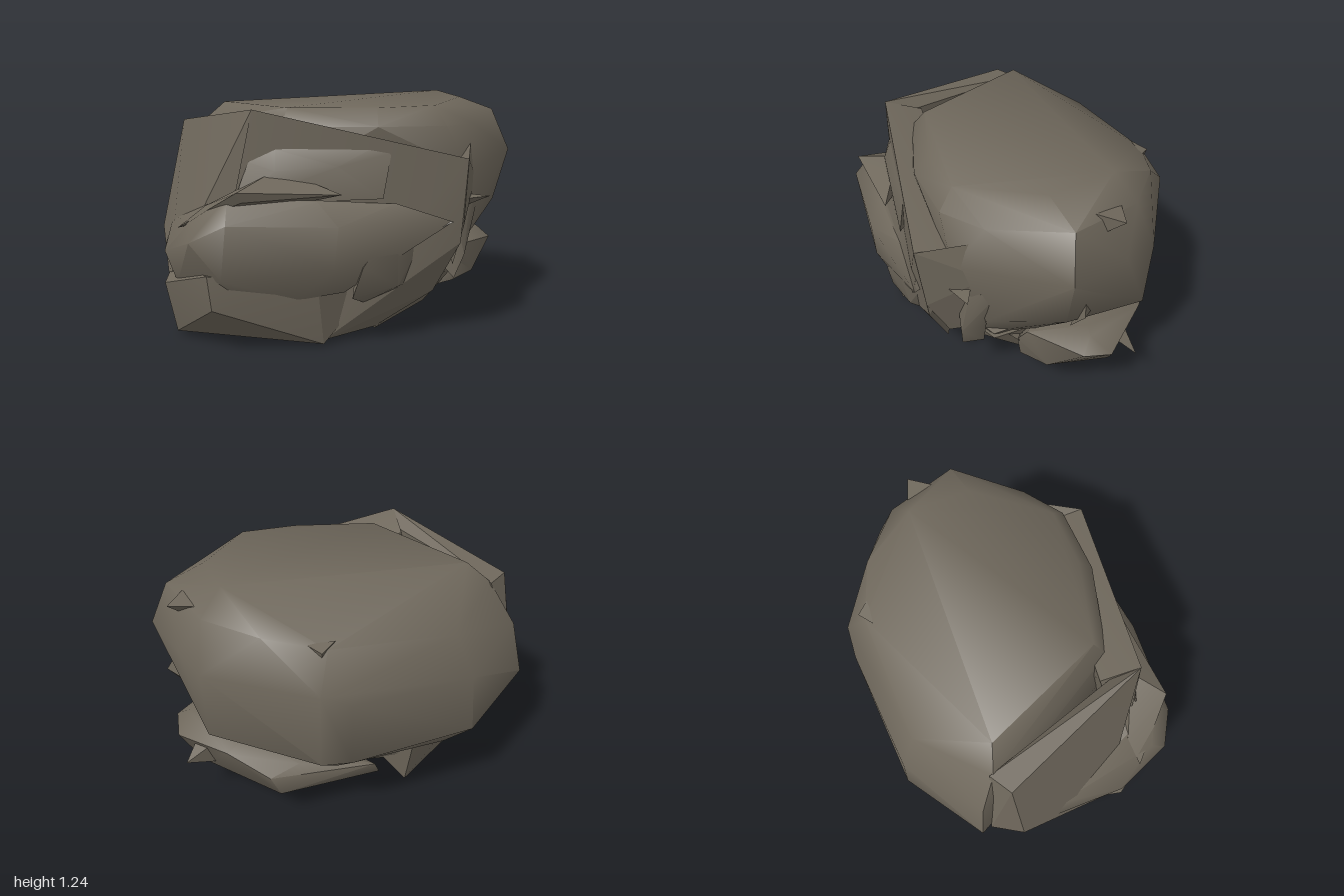
import * as THREE from 'three';
import { ConvexGeometry } from 'three/addons/geometries/ConvexGeometry.js';
import { mergeVertices, toCreasedNormals } from 'three/addons/utils/BufferGeometryUtils.js';

export function createModel() {
  const group = new THREE.Group();
  const stone = new THREE.MeshStandardMaterial({ color: 0x6e675b });
  stone.name = 'grey brown stone';

  // Convex chunk of rock from its corner points; edges sharper than the crease stay hard
  function rock(name, corners, crease = 0.75) {
    const hull = new ConvexGeometry(corners.map((c) => new THREE.Vector3(...c)));
    hull.deleteAttribute('normal');
    const mesh = new THREE.Mesh(toCreasedNormals(mergeVertices(hull, 1e-4), crease), stone);
    mesh.name = name;
    group.add(mesh);
  }

  // Main boulder: flat crown, long slope to the back, tapering underside
  rock('mainBoulder', [
    // crown
    [-0.64, 1.18, -0.18], [0.62, 1.24, -0.38], [0.7, 1.21, -0.05],
    [0.5, 1.18, 0.36], [0.2, 1.17, 0.43], [-0.25, 1.17, 0.4],
    // shoulder
    [-0.77, 1.07, -0.2], [-0.5, 0.99, -0.56], [0.15, 1.05, -0.7], [0.45, 1.1, -0.64],
    [0.72, 1.12, -0.47], [0.9, 1.14, -0.12], [0.72, 1.08, 0.25], [0.55, 1.08, 0.43],
    [0.2, 1.08, 0.51], [-0.28, 1.08, 0.47],
    // waist
    [-0.9, 0.85, -0.28], [-0.58, 0.78, -0.64], [0.05, 0.8, -0.81], [0.2, 0.87, -0.82],
    [0.75, 0.87, -0.57], [0.85, 0.9, -0.4], [1, 0.91, -0.1], [0.84, 0.88, 0.15],
    [0.68, 0.85, 0.4], [-0.3, 0.8, 0.5],
    // lower waist
    [-0.97, 0.55, -0.3], [-0.6, 0.47, -0.66], [0.05, 0.46, -0.82], [0.2, 0.46, -0.82],
    [0.74, 0.5, -0.56], [0.92, 0.62, -0.1], [0.72, 0.5, 0.25],
    // underside
    [-0.85, 0.36, -0.2], [-0.5, 0.28, -0.52], [0.1, 0.34, -0.7], [0.55, 0.28, -0.4],
    [0.7, 0.38, 0], [0.5, 0.2, 0.25], [-0.4, 0.25, 0.4],
  ], 0.85);

  // Split angular slab wrapping the front and left
  rock('leftSlab', [
    [-0.87, 1.08, -0.13], [-0.77, 1.07, -0.22], [-0.41, 1.17, 0.6], [-0.42, 1.1, 0.45],
    [-1, 0.47, -0.08], [-0.94, 0.5, -0.25], [-0.83, 0.02, 0], [-0.84, 0.02, 0.35],
    [-0.87, 0.3, 0.42], [-0.4, 0.25, 0.6],
  ], 0.25);
  rock('frontSlab', [
    [-0.41, 1.17, 0.6], [-0.42, 1.1, 0.4], [0.64, 0.93, 0.57], [0.62, 0.9, 0.35],
    [0.62, 0.5, 0.52], [0.5, 0.22, 0.42], [0.2, 0.02, 0.4], [-0.07, 0.02, 0.6],
    [-0.6, 0.3, 0.6], [-0.5, 0.7, 0.6],
  ], 0.25);

  // Raised core of the foot, with wedges reaching the ground around a hollow
  rock('footCore', [
    [-0.84, 0.16, -0.02], [-0.85, 0.16, 0.33], [0.2, 0.14, 0.4], [0.5, 0.14, -0.05],
    [0.3, 0.14, -0.45], [-0.32, 0.16, -0.48], [-0.92, 0.4, -0.1], [-0.86, 0.4, 0.4],
    [0.3, 0.4, 0.48], [0.66, 0.34, 0.2], [0.6, 0.4, -0.3], [0.2, 0.4, -0.6], [-0.45, 0.4, -0.52],
  ], 0.25);
  rock('leftFoot', [
    [-0.83, 0.02, 0], [-0.3, 0.01, -0.5], [-0.61, 0.02, -0.03], [-0.8, 0.02, 0.3],
    [-0.92, 0.42, -0.1], [-0.35, 0.4, -0.52], [-0.6, 0.35, 0], [-0.15, 0.2, -0.48],
  ], 0.25);
  rock('rightFoot', [
    [0.52, 0.01, -0.07], [0.2, 0.01, 0.4], [0.12, 0.02, 0.3], [0.3, 0.02, -0.1],
    [0.35, 0.02, -0.35], [0.67, 0.32, 0.2], [0.55, 0.3, -0.3], [0.3, 0.35, 0.48], [0.1, 0.3, 0.1],
  ], 0.25);
  rock('frontFoot', [
    [-0.83, 0.02, 0.45], [-0.6, 0.23, 0.77], [-0.07, 0.01, 0.63], [-0.83, 0.05, 0.3],
    [-0.87, 0.3, 0.52], [-0.87, 0.35, 0.28], [-0.62, 0.4, 0.77], [-0.1, 0.35, 0.7],
    [-0.1, 0.05, 0.5], [0.2, 0.3, 0.5],
  ], 0.25);

  // Two rounded stones lying in the hollow underneath
  function pebble(name, x, z, length, width) {
    const mesh = new THREE.Mesh(new THREE.SphereGeometry(1, 10, 7), stone);
    mesh.name = name;
    mesh.scale.set(length, 0.12, width);
    mesh.rotation.y = -Math.PI / 4;
    mesh.position.set(x, 0.12, z);
    group.add(mesh);
  }
  pebble('innerPebble', -0.22, -0.03, 0.31, 0.22);
  pebble('frontPebble', -0.42, 0.35, 0.24, 0.2);

  // Rounded boulder bulging from the front
  rock('frontBoulder', [
    [-0.94, 0.45, 0.1], [-0.9, 0.56, 0.12], [-0.87, 0.46, 0.5], [-0.7, 0.65, 0.68],
    [-0.52, 0.77, 0.72], [-0.1, 0.74, 0.69], [0.28, 0.72, 0.62], [0.57, 0.62, 0.58],
    [0.4, 0.57, 0.6], [-0.7, 0.56, 0.77], [-0.52, 0.65, 0.82], [0, 0.63, 0.76],
    [-0.55, 0.38, 0.79], [-0.02, 0.42, 0.75], [-0.8, 0.31, 0.55], [-0.5, 0.29, 0.73],
    [-0.2, 0.26, 0.7], [0.03, 0.29, 0.67], [0.28, 0.45, 0.62], [-0.2, 0.3, 0.4], [0.4, 0.55, 0.45],
  ], 0.9);
  // Knuckle at the lower right of the front
  rock('frontKnuckle', [
    [0.2, 0.53, 0.68], [0.29, 0.54, 0.65], [0.12, 0.42, 0.7], [0.07, 0.26, 0.68],
    [0.13, 0.21, 0.58], [0.27, 0.2, 0.43], [0.42, 0.28, 0.41], [0.45, 0.56, 0.52],
    [0.3, 0.3, 0.6], [0.1, 0.4, 0.45],
  ], 0.7);
  // Shallow swelling and thin flake above the front boulder
  rock('upperSwelling', [
    [-0.47, 0.82, 0.61], [-0.43, 0.92, 0.6], [-0.3, 0.98, 0.6], [0.2, 1, 0.57], [0.26, 0.96, 0.58],
    [0, 0.9, 0.63], [-0.3, 0.88, 0.64], [0.22, 0.74, 0.61], [-0.5, 0.72, 0.64], [0, 0.8, 0.4],
  ], 0.9);
  rock('flake', [
    [-0.78, 0.6, 0.6], [-0.47, 0.8, 0.79], [-0.34, 0.86, 0.62], [-0.2, 0.85, 0.6],
    [0.02, 0.77, 0.67], [-0.45, 0.75, 0.77], [-0.65, 0.7, 0.55], [-0.3, 0.7, 0.55],
  ], 0.3);

  // Long low boulder running from the right side to the back
  rock('rightBoulder', [
    [0.93, 0.37, -0.2], [0.92, 0.34, -0.35], [0.86, 0.43, -0.25], [0.8, 0.45, -0.25],
    [0.8, 0.2, -0.05], [0.8, 0.18, -0.38], [0.72, 0.38, 0.04], [0.68, 0.3, 0.08],
    [0.66, 0.17, 0.06], [0.62, 0.12, -0.1], [0.6, 0.1, -0.45], [0.55, 0.42, -0.5],
    [0.66, 0.38, -0.58], [0.45, 0.3, -0.71], [0.4, 0.18, -0.7], [0.25, 0.08, -0.55],
    [-0.1, 0.27, -0.64], [-0.13, 0.18, -0.6], [0.02, 0.06, -0.46], [0.3, 0.33, -0.65],
    [0.4, 0.08, 0], [0.3, 0.03, -0.28],
  ], 0.9);

  // Slim ridge and fin at the front right
  rock('rightRidge', [
    [0.7, 0.7, 0.32], [0.74, 0.7, 0.27], [0.75, 0.64, 0.24], [0.7, 0.45, 0.26], [0.64, 0.29, 0.25],
    [0.62, 0.27, 0.36], [0.67, 0.4, 0.37], [0.6, 0.68, 0.38], [0.5, 0.4, 0.28],
  ], 0.8);
  rock('rightFin', [
    [0.7, 0.99, 0.3], [0.64, 0.93, 0.57], [0.74, 0.8, 0.25], [0.63, 0.58, 0.53],
    [0.6, 0.36, 0.42], [0.66, 0.42, 0.2], [0.5, 0.8, 0.3],
  ], 0.2);

  // Small sharp chips: tip first, then the three embedded corners
  [
    [[0.8, 0.71, 0.35], [0.66, 0.71, 0.43], [0.66, 0.65, 0.33], [0.64, 0.72, 0.3]],
    [[0.95, 0.66, -0.18], [0.86, 0.81, -0.21], [0.86, 0.53, -0.14], [0.84, 0.62, -0.26]],
    [[0.88, 1.14, -0.36], [0.8, 1.16, -0.22], [0.83, 1.06, -0.28], [0.75, 1.14, -0.38]],
    [[0.18, 1.05, -0.73], [0.11, 1.07, -0.66], [0.25, 1.07, -0.67], [0.18, 0.98, -0.7]],
    [[0.88, 0.27, -0.5], [0.8, 0.37, -0.36], [0.7, 0.38, -0.46], [0.72, 0.22, -0.45]],
    [[0.57, 0.62, 0.59], [0.44, 0.64, 0.55], [0.45, 0.57, 0.6], [0.44, 0.58, 0.45]],
    [[0.55, 0.31, 0.2], [0.7, 0.31, 0.08], [0.52, 0.01, -0.07], [0.45, 0.2, 0]],
  ].forEach((corners, i) => rock('chip' + (i + 1), corners, 0.1));

  return group;
}
